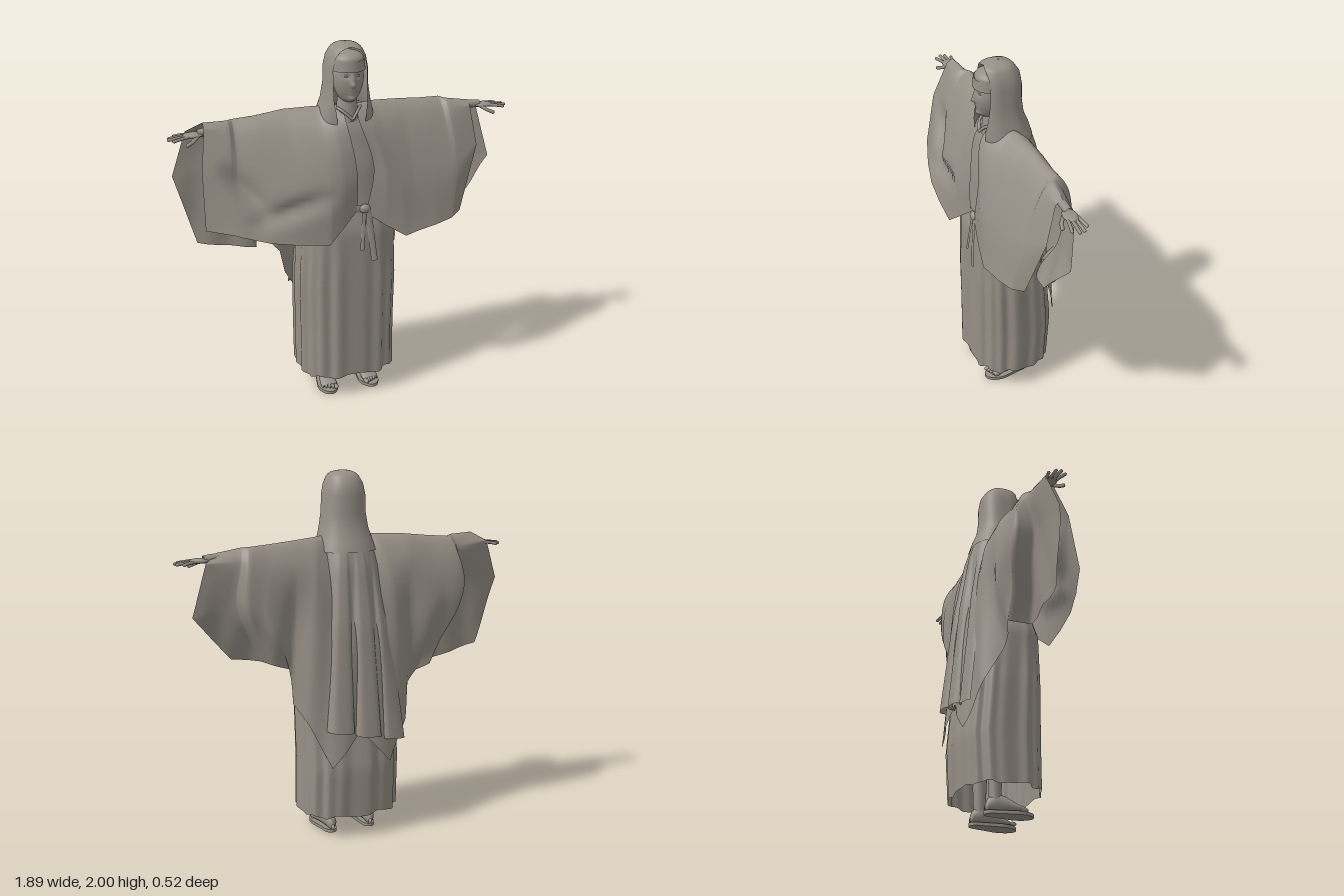
import * as THREE from 'three';

const stone = new THREE.MeshStandardMaterial({ color: 0x968f86, side: THREE.DoubleSide });
stone.name = 'warm grey stone';
const V = (x, y, z) => new THREE.Vector3(x, y, z);
const clamp = THREE.MathUtils.clamp;

// Skin a grid of points (rows of equal length); closed joins the end of each row to its start
function loft(rows, closed = false) {
  const n = rows[0].length, pos = [], idx = [];
  rows.forEach(r => r.forEach(p => pos.push(p.x, p.y, p.z)));
  for (let i = 0; i < rows.length - 1; i++)
    for (let j = 0; j < (closed ? n : n - 1); j++) {
      const k = (j + 1) % n, a = i * n + j, b = i * n + k, c = a + n, d = b + n;
      idx.push(a, b, d, a, d, c);
    }
  const g = new THREE.BufferGeometry();
  g.setAttribute('position', new THREE.Float32BufferAttribute(pos, 3));
  g.setIndex(idx);
  g.computeVertexNormals();
  return g;
}
function add(parent, name, geo, x = 0, y = 0, z = 0) {
  const m = new THREE.Mesh(geo, stone);
  m.name = name;
  m.position.set(x, y, z);
  parent.add(m);
  return m;
}
const ball = (parent, name, p, s) => add(parent, name, new THREE.SphereGeometry(1, 24, 16), ...p).scale.set(...s);
const tube = (pts, r, n = 16) =>
  new THREE.TubeGeometry(new THREE.CatmullRomCurve3(pts.map(p => V(...p))), n, r, 8);
// Interpolate table rows keyed by their first, falling number
function sample(table, y) {
  let i = 0;
  while (i < table.length - 2 && y < table[i + 1][0]) i++;
  const a = table[i], b = table[i + 1], t = (a[0] - y) / (a[0] - b[0]);
  return a.map((v, k) => v + (b[k] - v) * t);
}

// Pleated long robe: y, half width, front z, back z
function robe() {
  const table = [[1.64, 0.08, 0.09, -0.06], [1.56, 0.17, 0.13, -0.1], [1.35, 0.2, 0.17, -0.13],
    [1.13, 0.205, 0.185, -0.13], [1.0, 0.262, 0.215, -0.16], [0.7, 0.274, 0.22, -0.2], [0.4, 0.27, 0.22, -0.228],
    [0.13, 0.271, 0.22, -0.212]];
  const rows = [];
  for (let i = 0; i <= 40; i++) {
    const y0 = 1.64 - i / 40 * 1.51, [, w, zf, zb] = sample(table, y0), row = [];
    const pleat = clamp((1.13 - y0) / 0.4, 0, 1);
    for (let j = 0; j < 144; j++) {
      const a = j / 144 * Math.PI * 2, c = Math.cos(a), s = Math.sin(a);
      const k = 1 + 0.036 * pleat * (Math.sin(a * 18) * 0.6 + Math.sin(a * 11 + 1) * 0.5);
      const x = Math.sign(c) * Math.abs(c) ** 0.72 * w * k;
      const z = (zf + zb) / 2 + Math.sign(s) * Math.abs(s) ** 0.72 * (zf - zb) / 2 * k;
      row.push(V(x, y0 + (i === 40 ? 0.008 * Math.sin(a * 9) : 0), z));
    }
    rows.push(row);
  }
  return loft(rows, true);
}

// Mantle stations: front hem, front middle, top of arm, back middle, back hem, fold radius
const rightStations = [
  [[-0.01, 1.12, 0.2], [-0.01, 1.35, 0.195], [0.03, 1.665, 0.04], [0, 1.15, -0.18], [0, 0.62, -0.225], 0.1],
  [[0.08, 1.04, 0.235], [0.07, 1.32, 0.215], [0.09, 1.66, 0.02], [0.13, 1.15, -0.18], [0.17, 0.43, -0.235], 0.11],
  [[0.16, 0.97, 0.262], [0.15, 1.28, 0.225], [0.16, 1.655, -0.01], [0.24, 1.15, -0.16], [0.29, 0.64, -0.16], 0.11],
  [[0.32, 0.99, 0.26], [0.32, 1.28, 0.2], [0.32, 1.65, -0.03], [0.34, 1.2, -0.13], [0.345, 0.82, -0.08], 0.08],
  [[0.48, 1.02, 0.25], [0.48, 1.28, 0.17], [0.48, 1.63, -0.03], [0.49, 1.28, -0.15], [0.4, 0.885, -0.07], 0.07],
  [[0.62, 1.06, 0.22], [0.61, 1.3, 0.15], [0.6, 1.62, -0.04], [0.66, 1.35, -0.13], [0.47, 0.92, -0.09], 0.06],
  [[0.65, 1.07, 0.21], [0.65, 1.3, 0.15], [0.63, 1.625, -0.01], [0.66, 1.36, -0.02], [0.5, 0.905, 0.02], 0.05],
  [[0.8, 1.1, 0.16], [0.795, 1.4, 0.11], [0.76, 1.63, 0], [0.93, 1.36, 0], [0.82, 0.98, 0.03], 0.035]];
const leftStations = [
  [[0.06, 1.1, 0.2], [0.105, 1.35, 0.19], [0.04, 1.665, 0.04], [0, 1.15, -0.18], [0, 0.62, -0.225], 0.1],
  [[0.17, 1.02, 0.22], [0.17, 1.32, 0.205], [0.1, 1.66, 0.02], [0.13, 1.15, -0.18], [0.17, 0.43, -0.235], 0.11],
  [[0.28, 0.95, 0.235], [0.25, 1.28, 0.2], [0.18, 1.655, -0.01], [0.25, 1.15, -0.16], [0.28, 0.67, -0.16], 0.11],
  [[0.36, 0.97, 0.23], [0.34, 1.28, 0.18], [0.32, 1.645, -0.025], [0.34, 1.2, -0.11], [0.345, 0.78, -0.1], 0.08],
  [[0.46, 0.985, 0.22], [0.46, 1.28, 0.165], [0.45, 1.635, -0.03], [0.48, 1.25, -0.14], [0.34, 0.96, -0.08], 0.07],
  [[0.55, 1.0, 0.2], [0.58, 1.3, 0.145], [0.56, 1.63, -0.04], [0.59, 1.32, -0.11], [0.45, 1.0, -0.08], 0.06],
  [[0.57, 1.005, 0.195], [0.61, 1.3, 0.14], [0.59, 1.625, -0.01], [0.63, 1.32, -0.03], [0.48, 1.0, 0.02], 0.05],
  [[0.63, 1.02, 0.15], [0.745, 1.37, 0.09], [0.72, 1.605, 0], [0.855, 1.27, 0.01], [0.64, 1.02, 0.06], 0.035]];

// Hollow of a cloth crease along the line from (x0, y0) to (x1, y1)
function crease(p, x0, y0, x1, y1, width) {
  const dx = x1 - x0, dy = y1 - y0, len2 = dx * dx + dy * dy;
  const t = clamp(((p.x - x0) * dx + (p.y - y0) * dy) / len2, 0, 1);
  return Math.sin(Math.PI * t) * Math.exp(-(((p.x - x0 - t * dx) ** 2 + (p.y - y0 - t * dy) ** 2) / width ** 2));
}

function mantle(stations, side) {
  const curves = stations.map(([f, m, t, b, h, r], i) => {
    const tip = t[0] + (b[0] - t[0]) * 0.5, cuff = i === stations.length - 1;
    return new THREE.CatmullRomCurve3([V(...f), V(...m), V(t[0], t[1] - r * 0.7, t[2] + r),
      V(...t), V(tip, t[1] - r * 1.4, t[2] - r), V(...b), V(...h)],
    false, cuff ? 'catmullrom' : 'centripetal', 0).getPoints(60);
  });
  const rows = [], steps = 6;
  for (let i = 0; i < curves.length - 1; i++)
    for (let k = i ? 1 : 0; k <= steps; k++)
      rows.push(curves[i].map((p, j) => {
        const q = p.clone().lerp(curves[i + 1][j], k / steps);
        // draped creases on the right sleeve, soft folds down the back
        if (j < 20 && side < 0)
          q.z -= 0.045 * crease(q, 0.7, 1.42, 0.45, 1.14, 0.05) + 0.035 * crease(q, 0.6, 1.1, 0.1, 1.24, 0.04);
        if (j > 36) q.z += 0.008 * clamp((1.5 - q.y) / 0.3, 0, 1) * Math.sin(q.x * 32 + q.y * 3);
        q.x *= side;
        return q;
      }));
  return loft(rows);
}

// Hood shell, open at the face: y, half width, front z, back z, half angle of the opening
function hood() {
  const table = [[2.0, 0.003, 0.035, 0.028, 0], [1.995, 0.04, 0.08, -0.006, 0], [1.985, 0.064, 0.112, -0.03, 0],
    [1.977, 0.074, 0.124, -0.041, 0.45], [1.965, 0.083, 0.134, -0.052, 0.72], [1.93, 0.1, 0.145, -0.075, 0.93],
    [1.87, 0.112, 0.148, -0.085, 0.96], [1.78, 0.114, 0.15, -0.085, 0.93], [1.7, 0.127, 0.153, -0.095, 0.8],
    [1.64, 0.143, 0.155, -0.12, 0.6], [1.58, 0.158, 0.145, -0.138, 0.5]];
  return loft(table.map(([y, w, zf, zb, open]) => {
    const row = [];
    for (let j = 0; j <= 48; j++) {
      const a = open + (Math.PI * 2 - open * 2) * j / 48, c = Math.cos(a);
      row.push(V(Math.sin(a) * w, y, (zf + zb) / 2 + (zf - zb) / 2 * Math.sign(c) * Math.abs(c) ** 0.7));
    }
    return row;
  }));
}

// Veil falling down the back in three broad, deepening box pleats
function veil() {
  const table = [[1.64, 0.125, -0.112], [1.5, 0.15, -0.15], [1.2, 0.185, -0.188], [0.62, 0.225, -0.225]];
  const rows = [];
  for (let i = 0; i <= 24; i++) {
    const row = [], d = i / 24;
    for (let j = 0; j <= 72; j++) {
      const u = j / 36 - 1, a = 9 * (u + 0.19), hem = 0.6 + 0.05 * u;
      const y = 1.64 + (hem - 1.64) * d, [, w, z] = sample(table, y);
      row.push(V(u * w + 0.034 * d * Math.sin(a), y,
        z + 0.07 * u ** 4 * (1 - 0.5 * d) - 0.036 * d * Math.tanh(2 * Math.cos(a))));
    }
    rows.push(row);
  }
  return loft(rows);
}

// Head: an ellipsoid with jaw, nose, eye hollows and mouth shaped by rule
function headGeometry() {
  const g = new THREE.SphereGeometry(1, 72, 60), p = g.attributes.position;
  const bump = (x, y, cx, cy, sx, sy) => Math.exp(-(((x - cx) / sx) ** 2) - ((y - cy) / sy) ** 2);
  for (let i = 0; i < p.count; i++) {
    const jaw = p.getY(i) < 0 ? 1 + p.getY(i) * 0.1 : 1;
    const x = p.getX(i) * 0.082 * jaw, y = p.getY(i) * 0.135;
    let z = p.getZ(i) * 0.086;
    if (z > 0) {
      const ax = Math.abs(x);
      z += 0.02 * bump(x, y, 0, -0.022, 0.011, 0.014) + 0.01 * bump(x, y, 0, 0.008, 0.009, 0.024)
        - 0.008 * bump(ax, y, 0.03, 0.022, 0.017, 0.012) + 0.008 * bump(x, y, 0, -0.062, 0.022, 0.012)
        - 0.006 * bump(x, y, 0, -0.062, 0.022, 0.003) + 0.022 * bump(x, y, 0, -0.1, 0.026, 0.02);
    }
    p.setXYZ(i, x, y, z);
  }
  g.computeVertexNormals();
  return g;
}

// Bare forearm and open hand, built for +x
function arm() {
  const g = new THREE.Group();
  add(g, 'forearm', loft([[0.63, 0.022, 1.578], [0.74, 0.022, 1.58], [0.79, 0.021, 1.575]]
    .map(([x, r, y]) => Array.from({ length: 16 }, (_, j) =>
      V(x, y + r * Math.sin(j * Math.PI / 8), r * Math.cos(j * Math.PI / 8)))), true));
  ball(g, 'palm', [0.81, 1.57, 0.002], [0.055, 0.014, 0.037]);
  [[-0.026, 0.9, -0.042], [-0.009, 0.93, -0.014], [0.009, 0.936, 0.012], [0.026, 0.915, 0.042]].forEach(([z0, x, z]) => {
    add(g, 'finger', tube([[0.83, 1.57, z0], [0.875, 1.566, (z0 + z) / 2], [x, 1.56, z]], 0.0085));
    ball(g, 'fingertip', [x, 1.56, z], [0.01, 0.0085, 0.0085]);
  });
  add(g, 'thumb', tube([[0.785, 1.57, 0.02], [0.82, 1.55, 0.05], [0.85, 1.537, 0.06]], 0.01));
  ball(g, 'thumbTip', [0.85, 1.537, 0.06], [0.01, 0.01, 0.01]);
  return g;
}

// Sandalled foot and lower leg, built for +x
function foot() {
  const g = new THREE.Group(), sole = new THREE.Shape();
  sole.absellipse(0, 0.075, 0.057, 0.095, 0, Math.PI);
  sole.absellipse(0, -0.05, 0.036, 0.045, Math.PI, Math.PI * 2);
  const sg = new THREE.ExtrudeGeometry(sole, { depth: 0.018, bevelEnabled: false, curveSegments: 20 });
  add(g, 'sandalSole', sg.rotateX(Math.PI / 2), 0, 0.018, 0);
  // instep sections: z, half width, height
  add(g, 'foot', loft([[-0.09, 0.008, 0.03], [-0.075, 0.028, 0.07], [-0.03, 0.033, 0.1], [0.02, 0.038, 0.085],
    [0.07, 0.045, 0.055], [0.11, 0.047, 0.038], [0.13, 0.04, 0.028]].map(([z, w, h]) =>
    Array.from({ length: 20 }, (_, j) => {
      const a = j * Math.PI / 10;
      return V(Math.cos(a) * w, 0.016 + h / 2 + Math.sin(a) * h / 2, z);
    })), true));
  for (let i = 0; i < 5; i++)
    ball(g, 'toe', [-0.034 + i * 0.0175, 0.03, 0.14 - i * 0.008], [i ? 0.009 : 0.013, 0.012, 0.022]);
  add(g, 'lowerLeg', new THREE.CylinderGeometry(0.048, 0.031, 0.42, 20), 0, 0.28, -0.035);
  return g;
}

export function createModel() {
  const model = new THREE.Group();
  model.name = 'robedFigure';
  add(model, 'longRobe', robe());
  add(model, 'rightMantleSleeve', mantle(rightStations, -1));
  add(model, 'leftMantleSleeve', mantle(leftStations, 1));
  add(model, 'hood', hood());
  add(model, 'backVeil', veil());

  add(model, 'head', headGeometry(), 0, 1.82, 0.075);
  add(model, 'neck', new THREE.CylinderGeometry(0.045, 0.065, 0.16, 24), 0, 1.67, 0.06);
  for (const s of [-1, 1]) {
    ball(model, 'eye', [s * 0.029, 1.842, 0.143], [0.013, 0.006, 0.006]);
    add(model, 'collar', tube([[s * 0.065, 1.665, 0.09], [s * 0.04, 1.65, 0.12], [0.005, 1.61, 0.142]], 0.008));
  }
  add(model, 'foreheadBand', new THREE.CylinderGeometry(0.086, 0.09, 0.056, 32, 1, true, -Math.PI / 2, Math.PI), 0, 1.893, 0.076);
  ball(model, 'innerCap', [0, 1.918, 0.07], [0.085, 0.045, 0.087]);

  // Belt, knot and hanging ends
  const belt = k => Array.from({ length: 48 }, (_, j) => {
    const a = j / 48 * Math.PI * 2, c = Math.cos(a), s = Math.sin(a);
    return [Math.sign(c) * Math.abs(c) ** 0.72 * 0.21 * k, (0.027 + Math.sign(s) * Math.abs(s) ** 0.72 * 0.166) * k];
  });
  add(model, 'belt', loft([[1.105, 1], [1.125, 1.03], [1.145, 1]].map(([y, k]) =>
    belt(k).map(([x, z]) => V(x, y, z))), true));
  ball(model, 'beltKnot', [0.055, 1.125, 0.2], [0.03, 0.026, 0.018]);
  const strip = (x0, x1, y1, w) => loft([0, 0.5, 1].map(t => {
    const x = x0 + (x1 - x0) * t, y = 1.12 + (y1 - 1.12) * t, z = 0.205 + 0.025 * t;
    return [V(x - w, y, z), V(x, y, z + 0.006), V(x + w, y, z)];
  }));
  add(model, 'longBeltEnd', strip(0.07, 0.1, 0.83, 0.018));
  add(model, 'shortBeltEnd', strip(0.05, 0.03, 0.9, 0.012));

  // Paired limbs
  for (const [s, side] of [[-1, 'right'], [1, 'left']]) {
    const a = arm(), f = foot();
    a.name = side + 'Arm';
    f.name = side + 'Foot';
    a.scale.x = f.scale.x = s;
    f.position.x = s * 0.118;
    f.rotation.y = s * 0.05;
    model.add(a, f);
  }
  return model;
}
